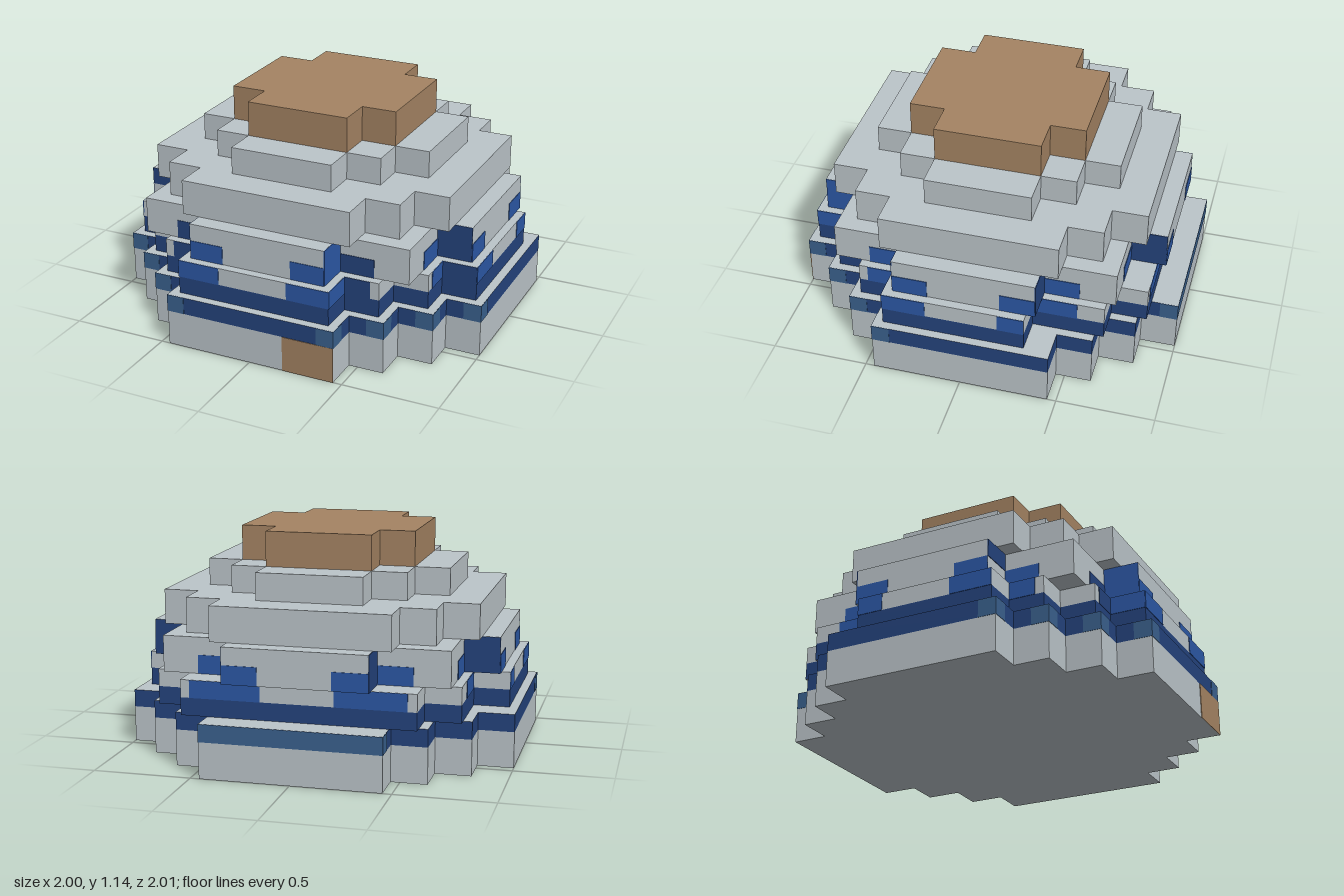
import * as THREE from 'three';

const mat = (name, color) => {
  const m = new THREE.MeshStandardMaterial({ color });
  m.name = name;
  return m;
};

// Stepped outline: front and back are [half width, z] pairs, from narrow to wide
function steppedShape(front, back) {
  const half = (steps) => {
    const pts = [];
    steps.forEach(([h, z], i) => {
      pts.push([h, z]);
      if (i + 1 < steps.length) pts.push([h, steps[i + 1][1]]);
    });
    return pts;
  };
  const right = [...half(front), ...half(back).reverse()];
  const left = right.map(([x, z]) => [-x, z]).reverse();
  return new THREE.Shape([...right, ...left].map(([x, z]) => new THREE.Vector2(x, -z)));
}

export function createModel() {
  const group = new THREE.Group();
  const grey = mat('stone grey', 0xbcc5ca);
  const wood = mat('wood brown', 0xa58463);
  const navy = mat('navy', 0x24437d);
  const blue = mat('window blue', 0x2c58a6);
  const steel = mat('steel blue', 0x3a618e);

  // Horizontal tier with separate cap and side colours
  function tier(name, front, back, y0, y1, cap, side) {
    const geo = new THREE.ExtrudeGeometry(steppedShape(front, back), { depth: y1 - y0, bevelEnabled: false });
    geo.rotateX(-Math.PI / 2);
    const mesh = new THREE.Mesh(geo, [cap, side]);
    mesh.position.y = y0;
    mesh.name = name;
    group.add(mesh);
  }
  function box(name, m, x0, x1, y0, y1, z0, z1) {
    const mesh = new THREE.Mesh(new THREE.BoxGeometry(Math.abs(x1 - x0), y1 - y0, Math.abs(z1 - z0)), m);
    mesh.position.set((x0 + x1) / 2, (y0 + y1) / 2, (z0 + z1) / 2);
    mesh.name = name;
    group.add(mesh);
  }
  // Thin painted plates lying on a z face or an x face
  const T = 0.003;
  const plateZ = (name, m, x0, x1, y0, y1, z) => box(name, m, x0, x1, y0, y1, z - T, z + T);
  const plateX = (name, m, z0, z1, y0, y1, x) => box(name, m, x - T, x + T, y0, y1, z0, z1);
  const flip = (steps) => steps.map(([h, z]) => [h, -z]);

  // Base with coloured band
  const base = [[0.455, 1], [0.636, 0.818], [0.818, 0.636], [1, 0.455]];
  tier('base', base, flip(base), 0, 0.185, grey, grey);
  tier('baseBand', base, flip(base), 0.185, 0.275, grey, navy);
  plateZ('door', wood, 0.182, 0.455, 0, 0.185, 1);

  // Steel corners on the band, and the steel back
  for (const s of [-1, 1]) {
    for (const [h, z] of base) {
      box('bandCorner', steel, s * (h - 0.091), s * (h + 0.002), 0.185, 0.274, z - 0.091, z + 0.002);
    }
  }
  box('bandBack', steel, -0.457, 0.457, 0.185, 0.274, -1.002, -0.909);

  // Second tier, set slightly forward
  const f2 = [[0.409, 0.955], [0.591, 0.773], [0.773, 0.591], [0.955, 0.409]];
  const b2 = [[0.591, -0.864], [0.773, -0.682], [0.955, -0.32]];
  tier('secondBand', f2, b2, 0.275, 0.365, grey, navy);
  tier('secondTier', f2, b2, 0.365, 0.455, grey, grey);

  // Window tier
  const f3 = [[0.364, 0.909], [0.727, 0.727], [0.909, 0.364]];
  tier('windowTier', f3, flip(f3), 0.455, 0.64, grey, grey);

  // Stepped roof
  const f4 = [[0.455, 0.818], [0.636, 0.636], [0.818, 0.455]];
  tier('lowerRoof', f4, flip(f4), 0.64, 0.82, grey, grey);
  const f5 = [[0.273, 0.636], [0.455, 0.455], [0.636, 0.273]];
  tier('upperRoof', f5, flip(f5), 0.82, 0.96, grey, grey);
  const f6 = [[0.273, 0.455], [0.455, 0.273]];
  tier('roofCap', f6, flip(f6), 0.96, 1.14, wood, wood);

  // Window panes, mirrored left and right
  const lo = 0.365, mid = 0.454, hi = 0.55, top = 0.639;
  for (const s of [-1, 1]) {
    // front
    plateZ('frontPaneLower', blue, s * 0.185, s * 0.409, lo, mid, 0.955);
    plateZ('frontPaneUpper', blue, s * 0.185, s * 0.364, 0.455, hi, 0.909);
    plateZ('frontFrameLower', navy, s * 0.409, s * 0.545, lo, mid, 0.773);
    plateZ('frontFrameUpper', navy, s * 0.364, s * 0.545, 0.455, hi, 0.727);
    plateX('frontReturnUpper', blue, 0.727, 0.909, 0.455, top, s * 0.364);
    plateX('frontReturnLower', blue, 0.773, 0.955, lo, mid, s * 0.409);
    // back
    plateZ('backPaneLower', blue, s * 0.185, s * 0.545, lo, mid, -0.864);
    plateZ('backPaneUpper', blue, s * 0.185, s * 0.364, 0.455, hi, -0.909);
    plateZ('backFrameUpper', blue, s * 0.364, s * 0.545, 0.455, hi, -0.727);
    plateX('backReturn', navy, -0.909, -0.727, 0.455, top, s * 0.364);
    // sides
    plateX('sidePaneLowerFront', blue, 0.185, 0.409, lo, mid, s * 0.955);
    plateX('sideFrameLowerFront', blue, 0.409, 0.545, lo, mid, s * 0.773);
    plateX('sidePaneLowerBack', blue, -0.32, -0.185, lo, mid, s * 0.955);
    plateX('sideFrameLowerBack', blue, -0.545, -0.345, lo, mid, s * 0.773);
    for (const d of [-1, 1]) {
      plateX('sidePaneUpper', blue, d * 0.185, d * 0.364, 0.455, hi, s * 0.909);
      plateX('sideFrameUpper', blue, d * 0.364, d * 0.545, 0.455, hi, s * 0.727);
    }
    plateZ('sideReturnBack', navy, s * 0.727, s * 0.909, 0.455, top, -0.364);
  }
  // Front-facing side returns differ from left to right
  plateZ('leftReturnUpper', navy, 0.727, 0.909, 0.455, top, 0.364);
  plateZ('leftReturnLower', navy, 0.773, 0.955, lo, mid, 0.409);
  plateZ('rightReturnUpper', navy, -0.909, -0.727, hi, top, 0.364);

  return group;
}
